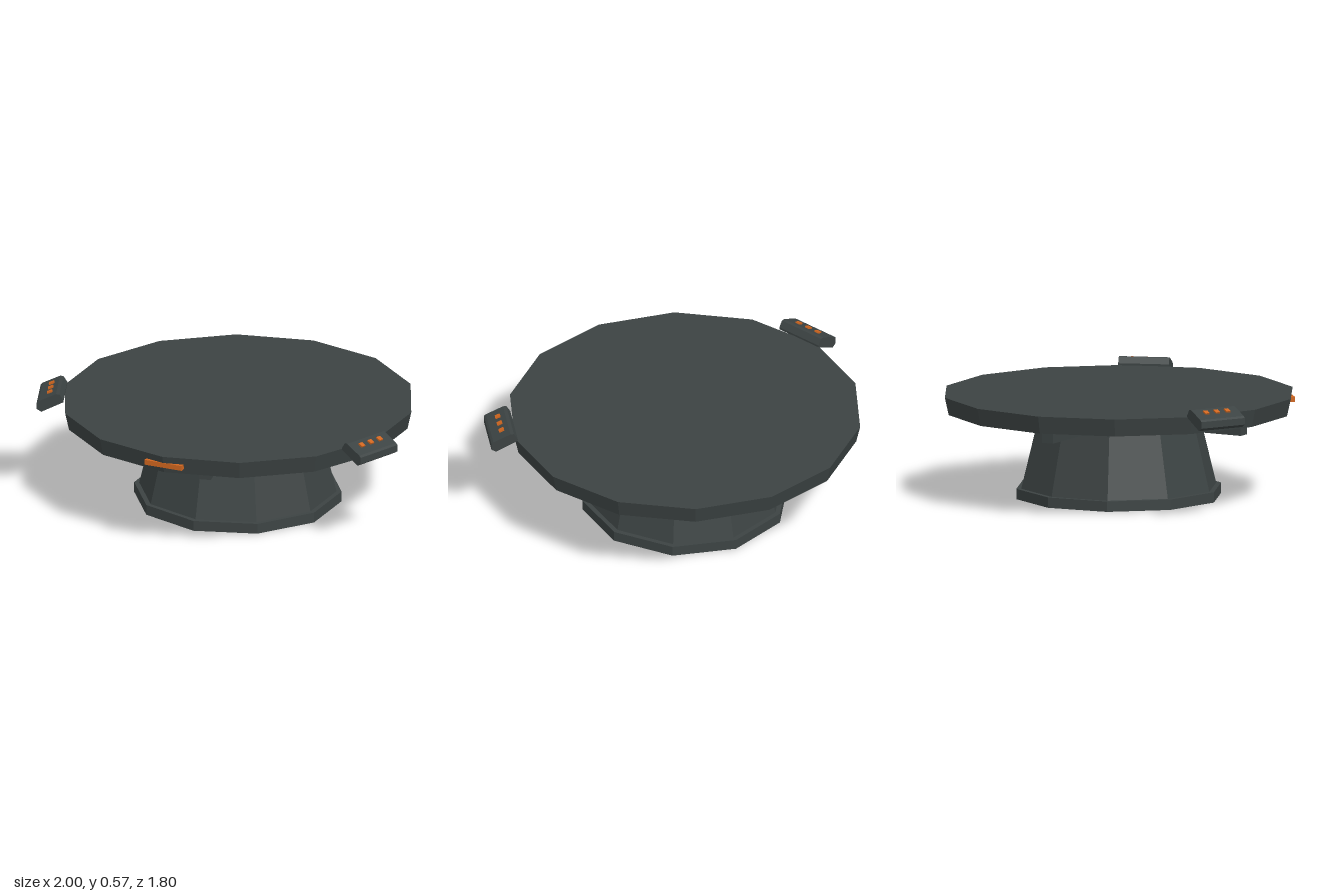
import * as THREE from 'three';

export function createModel() {
  const slate = new THREE.MeshStandardMaterial({ color: 0x3c4343 });
  slate.name = 'dark slate';
  const orange = new THREE.MeshStandardMaterial({ color: 0xd0661f });
  orange.name = 'orange';

  const model = new THREE.Group();
  model.name = 'table';

  const add = (parent, name, geometry, material, x = 0, y = 0, z = 0) => {
    // split the corners so every facet is flat
    const flat = geometry.index ? geometry.toNonIndexed() : geometry;
    flat.computeVertexNormals();
    const mesh = new THREE.Mesh(flat, material);
    mesh.name = name;
    mesh.position.set(x, y, z);
    parent.add(mesh);
    return mesh;
  };

  // Fourteen-sided top on a ten-sided tapered pedestal
  add(model, 'tableTop', new THREE.CylinderGeometry(0.9, 0.88, 0.09, 14), slate, 0, 0.487);
  add(model, 'basePlate', new THREE.CylinderGeometry(0.53, 0.53, 0.053, 10), slate, 0, 0.0265);
  add(model, 'column', new THREE.CylinderGeometry(0.408, 0.505, 0.394, 10), slate, 0, 0.248);

  // Support struts spread around the column, under the top
  for (const degrees of [12, 84, 162, 229, 318]) {
    const arm = new THREE.Group();
    arm.name = 'supportStrut';
    arm.rotation.y = THREE.MathUtils.degToRad(degrees);
    add(arm, 'strutBeam', new THREE.BoxGeometry(0.062, 0.08, 0.39), slate, 0, 0.41, 0.54);
    model.add(arm);
  }

  // Light strip on the front corner of the rim
  add(model, 'frontStrip', new THREE.BoxGeometry(0.208, 0.026, 0.03), orange, 0, 0.483, 0.877);

  // Sloping control panels at both sides: cross-section runs outward and up
  const profile = [
    [-0.067, 0.53], [0.045, 0.475], [0.068, 0.49], [0.068, 0.524],
    [0.058, 0.533], [-0.03, 0.573], [-0.047, 0.573], [-0.067, 0.542],
  ];
  for (const side of [-1, 1]) {
    const panel = new THREE.Group();
    panel.name = side > 0 ? 'leftControlPanel' : 'rightControlPanel';
    panel.position.set(side * 0.89, 0, 0.321);
    panel.rotation.y = -side * 0.36;

    const shape = new THREE.Shape(profile.map(([u, y]) => new THREE.Vector2(side * u, y)));
    const body = new THREE.ExtrudeGeometry(shape, { depth: 0.26, bevelEnabled: false });
    body.translate(0, 0, -0.13);
    add(panel, 'panelBody', body, slate);

    for (const z of [-0.0625, 0, 0.0625]) {
      const button = add(panel, 'button', new THREE.BoxGeometry(0.027, 0.009, 0.025), orange, side * 0.007, 0.56, z);
      button.rotation.z = -side * 0.42;
    }
    model.add(panel);
  }

  return model;
}
